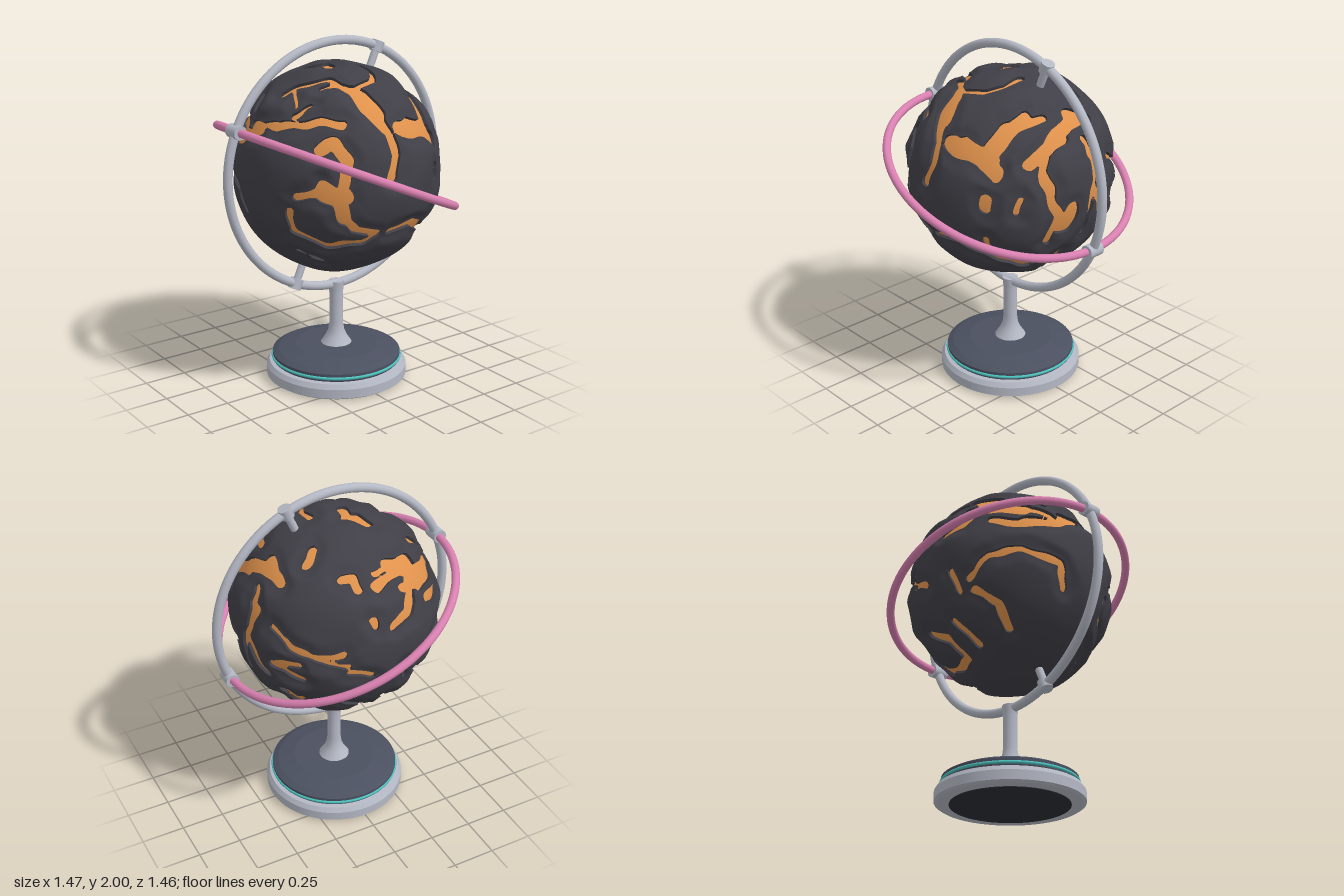
import * as THREE from 'three';
import { mergeVertices } from 'three/addons/utils/BufferGeometryUtils.js';

const CENTER_Y = 1.265, TILT = THREE.MathUtils.degToRad(23.4);
const LAVA_R = 0.56, EDGE_R = 0.578;

const mat = (name, color, extra = {}) => Object.assign(new THREE.MeshStandardMaterial({ color, ...extra }), { name });

// Lava channels: [half width, u, v, u, v ...] in hundredths, laid on the sphere from one side each
const frontStrokes = [
  [2, -24, 49, -12, 51, -7, 46], [5, -7, 46, -4, 38], [3.5, -4, 38, -2, 28, -1, 16, -4, 6],
  [4, 6, 30, 17, 26, 28, 24, 35, 18], [3.5, 30, 26, 31, 36, 32, 44],
  [3, -48, -3, -38, 0], [6, -38, 0, -31, -3], [3.5, -31, 2, -27, 16, -31, 26, -38, 22],
  [4, -32, -6, -29, -15], [2.5, -29, -15, -22, -22, -10, -25],
  [2.5, -50, -12, -46, -24, -33, -31, -17, -30, -10, -25],
  [2.5, -2, -25, 13, -23, 23, -27], [3, 23, -27, 33, -34, 35, -41],
  [3.5, 33, 5, 33, -1], [2, 46, 5, 45, -3], [2, -33, 42, -41, 36], [1.5, -40, -37, -27, -44],
];
const rightStrokes = [
  [2.8, -19, -22, -16, -8, -20, 5, -23, 18, -19, 29, -6, 32],
  [2.8, 7, 29, 11, 18, 9, 5, 14, -8, 20, -17], [5, -8, -5, -12, -14],
  [2.5, -39, 29, -27, 38, -11, 43], [3.5, 3, 41, 18, 36], [4, -45, 23, -42, 25],
  [2, 26, 15, 37, 7, 47, 1, 54, -2], [2, 29, -6, 40, -3],
  [2, -45, -19, -39, -32, -24, -40, -10, -35], [2, -16, -48, 2, -43, 23, -35, 34, -30],
];
const topStrokes = [
  [3.5, -49, 15, -41, 29], [6, -41, 29, -29, 40], [3, -29, 40, -17, 46], [4.5, -27, 36, -12, 38], [2, -12, 38, -2, 40],
  [2.5, 8, 44, 10, 40, 15, 38], [3, -12, 14, -5, 8, -7, -4], [2.5, 22, 18, 28, 23],
  [3.5, 41, 17, 43, 2, 47, -16, 45, -28], [2, 13, -3, 12, -16, 6, -25, -9, -29],
  [4, -10, -29, -10, -40, -4, -48], [2.5, -12, -29, -16, -17, -28, -8, -36, -2],
  [4, 30, -30, 28, -42], [2.5, 28, -42, 14, -46, 7, -50], [2.5, -49, 8, -47, -14, -33, -32, -24, -40],
];
const backStrokes = [
  [2.5, -2, 49, 6, 47, 5, 41], [3, -24, 17, -8, 18], [5, -2, 18, 4, 16], [3.5, -4, 10, -13, -5, -24, -6],
  [2.5, 18, 23, 29, 17], [4, 43, 14, 36, 2, 20, -6], [3, 20, -7, 3, -6], [2, -33, 2, -33, -2],
  [2.5, -8, -37, 3, -28, 20, -23, 39, -24, 40, -33], [2.5, -6, -42, 6, -48, 9, -54], [1.5, 32, 38, 40, 34],
];
const belowStrokes = [
  [2.2, -43, -5, -44, 18, -37, 35], [2.5, -28, 15, -12, 13], [2.3, -20, 32, -6, 27, 9, 29], [2.3, 14, 18, 25, 12],
  [3, -23, -6, -14, -10, -17, -20], [4.5, -16, -22, -10, -28], [2.5, -10, -28, 2, -33, 16, -34, 20, -20, 10, -10],
  [2.2, -43, -22, -28, -36, -14, -41], [2.2, 31, -16, 28, -33], [2, 41, 8, 42, -4],
];

// Turn strokes seen from one direction into capsules on the sphere
function capsules(strokes, azDeg, elDeg) {
  const az = THREE.MathUtils.degToRad(azDeg), el = THREE.MathUtils.degToRad(elDeg);
  const d = new THREE.Vector3(Math.sin(az) * Math.cos(el), Math.sin(el), Math.cos(az) * Math.cos(el));
  const r = new THREE.Vector3(Math.cos(az), 0, -Math.sin(az));
  const up = d.clone().cross(r);
  const place = (u, v) => new THREE.Vector3().addScaledVector(r, u).addScaledVector(up, v)
    .addScaledVector(d, Math.sqrt(Math.max(0, EDGE_R ** 2 - u * u - v * v))).setLength(EDGE_R);
  const out = [];
  for (const [w, ...c] of strokes) {
    for (let i = 0; i + 3 < c.length; i += 2) {
      const a = place(c[i] / 100, c[i + 1] / 100), ab = place(c[i + 2] / 100, c[i + 3] / 100).sub(a);
      out.push({ a, ab, len2: ab.lengthSq(), w: w / 100 });
    }
  }
  return out;
}

const wave = (p, k, s) => Math.sin(p.x * k + s + 2 * Math.sin(p.y * k * 0.7 + s)) * Math.cos(p.z * k * 0.9 + p.y * k * 0.5 - s);

// Crust plates: sphere clipped along the channels, with a wall down to the lava
function crustGeometries() {
  const caps = [...capsules(frontStrokes, 0, 0), ...capsules(rightStrokes, 90, 0), ...capsules(topStrokes, 0, 90),
    ...capsules(backStrokes, 213, 25), ...capsules(belowStrokes, 147, -25)];
  const q = new THREE.Vector3();
  const field = (p) => {
    q.set(p.x + 0.012 * wave(p, 24, 1), p.y + 0.012 * wave(p, 22, 3), p.z + 0.012 * wave(p, 26, 5));
    let best = 1;
    for (const { a, ab, len2, w } of caps) {
      const x = q.x - a.x, y = q.y - a.y, z = q.z - a.z;
      const t = Math.min(1, Math.max(0, (x * ab.x + y * ab.y + z * ab.z) / len2));
      best = Math.min(best, Math.hypot(x - t * ab.x, y - t * ab.y, z - t * ab.z) - w);
    }
    return best;
  };
  const lift = ({ p, f }) => p.clone().setLength(
    EDGE_R + THREE.MathUtils.smoothstep(f, 0, 0.07) * (0.016 + 0.007 * wave(p, 11, 2)));
  const top = [], wall = [];
  const push = (arr, ...pts) => pts.forEach((p) => arr.push(p.x, p.y, p.z));
  const pos = new THREE.IcosahedronGeometry(EDGE_R, 44).attributes.position;
  for (let i = 0; i < pos.count; i += 3) {
    const tri = [0, 1, 2].map((k) => {
      const p = new THREE.Vector3().fromBufferAttribute(pos, i + k);
      return { p, f: field(p) };
    });
    const poly = [];
    let exit, entry;
    tri.forEach((a, k) => {
      const b = tri[(k + 1) % 3];
      if (a.f > 0) poly.push(lift(a));
      if (a.f > 0 !== b.f > 0) {
        const cut = lift({ p: a.p.clone().lerp(b.p, a.f / (a.f - b.f)), f: 0 });
        poly.push(cut);
        if (a.f > 0) exit = cut; else entry = cut;
      }
    });
    for (let k = 1; k + 1 < poly.length; k++) push(top, poly[0], poly[k], poly[k + 1]);
    if (exit) {
      const x2 = exit.clone().setLength(LAVA_R - 0.005), e2 = entry.clone().setLength(LAVA_R - 0.005);
      push(wall, entry, exit, x2, entry, x2, e2);
    }
  }
  return [top, wall].map((arr) => {
    const g = mergeVertices(new THREE.BufferGeometry().setAttribute('position', new THREE.Float32BufferAttribute(arr, 3)), 1e-5);
    g.computeVertexNormals();
    return g;
  });
}

export function createModel() {
  const model = new THREE.Group();
  const metal = mat('silver metal', 0xb4b8c4), slate = mat('slate', 0x4b5060), teal = mat('teal', 0x4cc0bc);
  const pink = mat('pink', 0xd880b0), lava = mat('lava orange', 0xe0924c), rock = mat('dark rock', 0x403f47);
  const dark = mat('dark underside', 0x2a2d35);
  const add = (parent, name, geo, material, x = 0, y = 0, z = 0) => {
    const m = new THREE.Mesh(geo, material);
    m.name = name;
    m.position.set(x, y, z);
    parent.add(m);
    return m;
  };
  // Lathe with crisp profile corners, made from separate bands
  const lathe = (parent, name, pts, material) => {
    const g = new THREE.Group();
    g.name = name;
    for (let i = 0; i + 1 < pts.length; i++) {
      add(g, name + 'Band', new THREE.LatheGeometry([pts[i], pts[i + 1]].map(([x, y]) => new THREE.Vector2(x, y)), 64), material);
    }
    parent.add(g);
  };

  // Base and post
  lathe(model, 'baseRim', [[0, 0.004], [0.395, 0.004], [0.412, 0.015], [0.412, 0.068], [0.395, 0.095], [0.36, 0.1]], metal);
  lathe(model, 'baseTop', [[0.365, 0.095], [0.375, 0.105], [0.375, 0.145], [0.34, 0.163], [0.24, 0.188], [0, 0.195]], slate);
  add(model, 'baseStripe', new THREE.TorusGeometry(0.374, 0.009, 10, 80), teal, 0, 0.12).rotation.x = Math.PI / 2;
  add(model, 'baseUnderside', new THREE.CylinderGeometry(0.33, 0.33, 0.006, 64), dark, 0, 0.003);
  const post = [[0.095, 0.185], [0.085, 0.2], [0.062, 0.235], [0.047, 0.27], [0.04, 0.32], [0.039, 0.45], [0.041, 0.52]];
  add(model, 'post', new THREE.LatheGeometry(post.map(([x, y]) => new THREE.Vector2(x, y)), 32), metal);
  add(model, 'postSocket', new THREE.CylinderGeometry(0.046, 0.041, 0.06, 32), metal, 0, 0.545);

  // Upright ring
  add(model, 'meridianRing', new THREE.TorusGeometry(0.709, 0.026, 16, 128), metal, 0, CENTER_Y);

  // Tilted assembly: cross ring, clamps and axle pins
  const tilted = new THREE.Group();
  tilted.name = 'tiltedAssembly';
  tilted.position.y = CENTER_Y;
  tilted.rotation.z = -TILT;
  model.add(tilted);
  add(tilted, 'equatorRing', new THREE.TorusGeometry(0.706, 0.023, 16, 128), pink).rotation.x = Math.PI / 2;
  for (const s of [-1, 1]) {
    add(tilted, 'ringClamp', new THREE.CylinderGeometry(0.039, 0.039, 0.094, 24), metal, s * 0.709).rotation.x = Math.PI / 2;
    add(tilted, 'axlePin', new THREE.CylinderGeometry(0.022, 0.022, 0.17, 20), metal, 0, s * 0.635);
    add(tilted, 'axleCollar', new THREE.CylinderGeometry(0.037, 0.037, 0.06, 20), metal, 0, s * 0.709);
  }

  // Globe: glowing core under broken crust plates
  const globe = new THREE.Group();
  globe.name = 'globe';
  globe.position.y = CENTER_Y;
  model.add(globe);
  add(globe, 'lavaCore', new THREE.SphereGeometry(LAVA_R, 96, 64), lava);
  const [top, wall] = crustGeometries();
  add(globe, 'crustPlates', top, rock);
  add(globe, 'crustEdges', wall, rock);
  return model;
}
